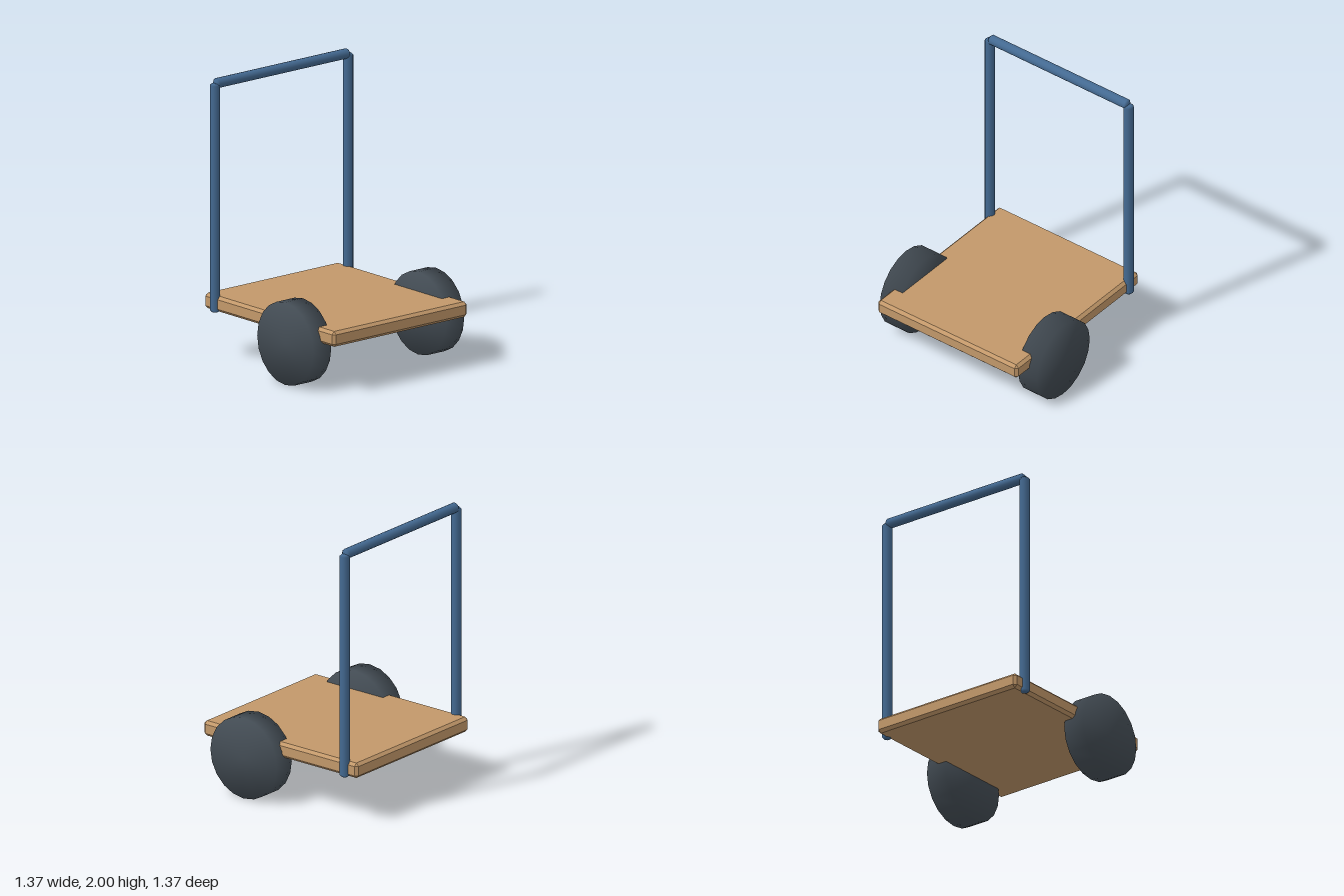
import * as THREE from 'three';
import { mergeVertices } from 'three/addons/utils/BufferGeometryUtils.js';
import { ConvexGeometry } from 'three/addons/geometries/ConvexGeometry.js';

// Box with every edge and corner cut by c
function chamferBox(w, h, d, c) {
  const points = [];
  const [x, y, z] = [w / 2, h / 2, d / 2];
  for (const sx of [-1, 1]) for (const sy of [-1, 1]) for (const sz of [-1, 1]) {
    points.push(
      new THREE.Vector3(sx * x, sy * (y - c), sz * (z - c)),
      new THREE.Vector3(sx * (x - c), sy * y, sz * (z - c)),
      new THREE.Vector3(sx * (x - c), sy * (y - c), sz * z));
  }
  return new ConvexGeometry(points);
}

// Cylinder whose normals blend over the rim
function softWheel(radius, width, sides) {
  const g = new THREE.CylinderGeometry(radius, radius, width, sides);
  g.deleteAttribute('uv');
  g.deleteAttribute('normal');
  const merged = mergeVertices(g);
  merged.computeVertexNormals();
  return merged;
}

// Bar along y with chamfered ends
function barGeometry(radius, length, c) {
  const h = length / 2;
  const profile = [[0, -h], [radius - c, -h], [radius, c - h], [radius, h - c], [radius - c, h], [0, h]];
  return new THREE.LatheGeometry(profile.map(([x, y]) => new THREE.Vector2(x, y)), 12);
}

export function createModel() {
  const group = new THREE.Group();
  const material = (name, color) => {
    const m = new THREE.MeshStandardMaterial({ color });
    m.name = name;
    return m;
  };
  const wood = material('wood', 0xc2986a);
  const blue = material('blue metal', 0x446a92);
  const rubber = material('dark rubber', 0x434c54);

  const add = (name, geometry, mat, x, y, z) => {
    const mesh = new THREE.Mesh(geometry, mat);
    mesh.name = name;
    mesh.position.set(x, y, z);
    group.add(mesh);
    return mesh;
  };

  // Flat load bed
  add('platform', chamferBox(1.224, 0.11, 1.37, 0.021), wood, 0, 0.395, 0);

  // Wheels and handle posts, mirrored
  const wheel = softWheel(0.295, 0.163, 20);
  const post = barGeometry(0.036, 1.63, 0.014);
  for (const [side, s] of [['left', 1], ['right', -1]]) {
    add(side + 'Wheel', wheel, rubber, s * 0.605, 0.295, 0.26).rotation.z = -s * Math.PI / 2;
    add(side + 'Post', post, blue, s * 0.606, 1.15, -0.573);
  }

  // Push bar across the posts
  add('handleBar', barGeometry(0.036, 1.21, 0.014), blue, 0, 1.964, -0.573).rotation.z = Math.PI / 2;

  return group;
}
